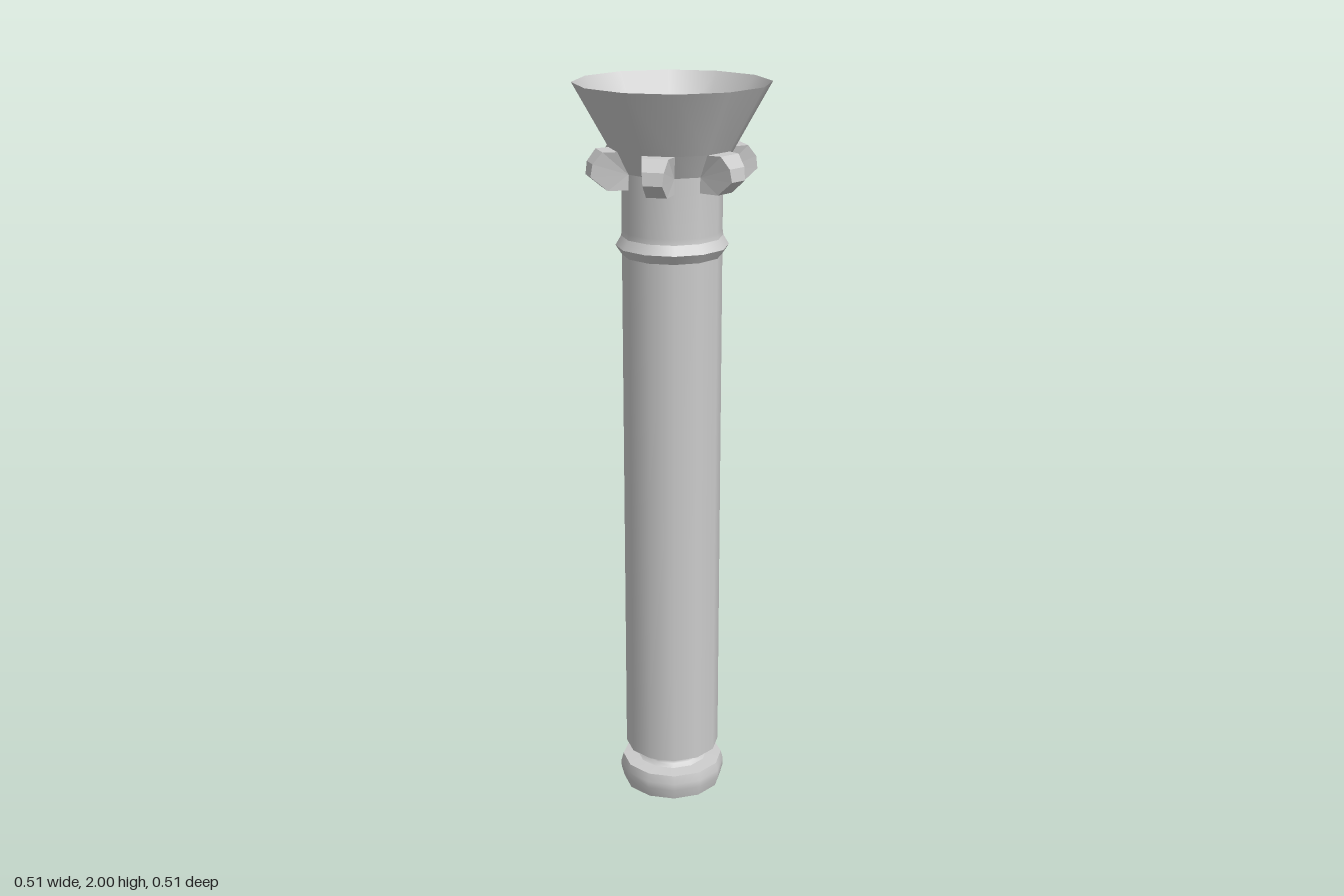
import * as THREE from 'three';

const SIDES = 12;
const STEP = (Math.PI * 2) / SIDES;
const material = new THREE.MeshStandardMaterial({ color: 0xcccccc, side: THREE.DoubleSide });
const flatMaterial = new THREE.MeshStandardMaterial({ color: 0xcccccc, side: THREE.DoubleSide, flatShading: true });

// Twelve-sided shell turned from [radius, height] points
function turned(name, points, segments = SIDES, start = 0) {
  const profile = points.map(([r, y]) => new THREE.Vector2(r, y));
  const mesh = new THREE.Mesh(new THREE.LatheGeometry(profile, segments, start, segments * STEP), material);
  mesh.name = name;
  return mesh;
}

// Hollow chamfered lug, open toward the wall, pointing along +z
function lugGeometry() {
  // [half width, y, distance from axis], from the lower wall edge out and back to the upper one
  const ring = [
    [0.034, 1.735, 0.128], [0.027, 1.735, 0.18], [0.025, 1.772, 0.225],
    [0.028, 1.805, 0.22], [0.034, 1.835, 0.195], [0.0425, 1.835, 0.158],
  ];
  const pivot = [0.034, 1.775, 0.128];
  const left = ([w, y, z]) => [-w, y, z];
  const right = ([w, y, z]) => [w, y, z];
  const v = [];
  for (let i = 0; i < ring.length - 1; i++) {
    const a = ring[i], b = ring[i + 1];
    v.push(...left(a), ...right(a), ...right(b), ...left(a), ...right(b), ...left(b));
    v.push(...right(pivot), ...right(b), ...right(a));
    v.push(...left(pivot), ...left(a), ...left(b));
  }
  const geometry = new THREE.BufferGeometry();
  geometry.setAttribute('position', new THREE.Float32BufferAttribute(v, 3));
  geometry.computeVertexNormals();
  return geometry;
}

export function createModel() {
  const group = new THREE.Group();

  // Hollow foot, neck and the floor of the tube
  group.add(
    turned('foot', [[0.14, 0], [0.148, 0.03], [0.148, 0.05], [0.142, 0.073]]),
    turned('footTop', [[0.142, 0.073], [0.1, 0.076]]),
    turned('neck', [[0.1, 0.076], [0.088, 0.084], [0.086, 0.095], [0.092, 0.107], [0.107, 0.117]]),
    turned('tubeFloor', [[0.086, 0.117], [0.132, 0.117]]),
  );

  // Long tube with a pointed collar
  group.add(
    turned('tube', [[0.132, 0.117], [0.132, 1.555]]),
    turned('collarLower', [[0.132, 1.555], [0.149, 1.58]]),
    turned('collarUpper', [[0.149, 1.58], [0.134, 1.605]]),
    turned('upperTube', [[0.134, 1.605], [0.132, 1.62], [0.132, 1.735]]),
  );

  // Flared mouth
  group.add(turned('mouth', [[0.164, 1.835], [0.257, 2]]));

  // Wall band: solid on every second side, opening into a lug on the others
  const lug = lugGeometry();
  for (let i = 0; i < SIDES; i += 2) {
    group.add(
      turned('bandWall', [[0.132, 1.735], [0.132, 1.775]], 1, (i + 1) * STEP),
      turned('bandFlare', [[0.132, 1.775], [0.164, 1.835]], 1, (i + 1) * STEP),
    );
    const mesh = new THREE.Mesh(lug, flatMaterial);
    mesh.name = 'lug';
    mesh.rotation.y = (i + 0.5) * STEP;
    group.add(mesh);
  }
  return group;
}
